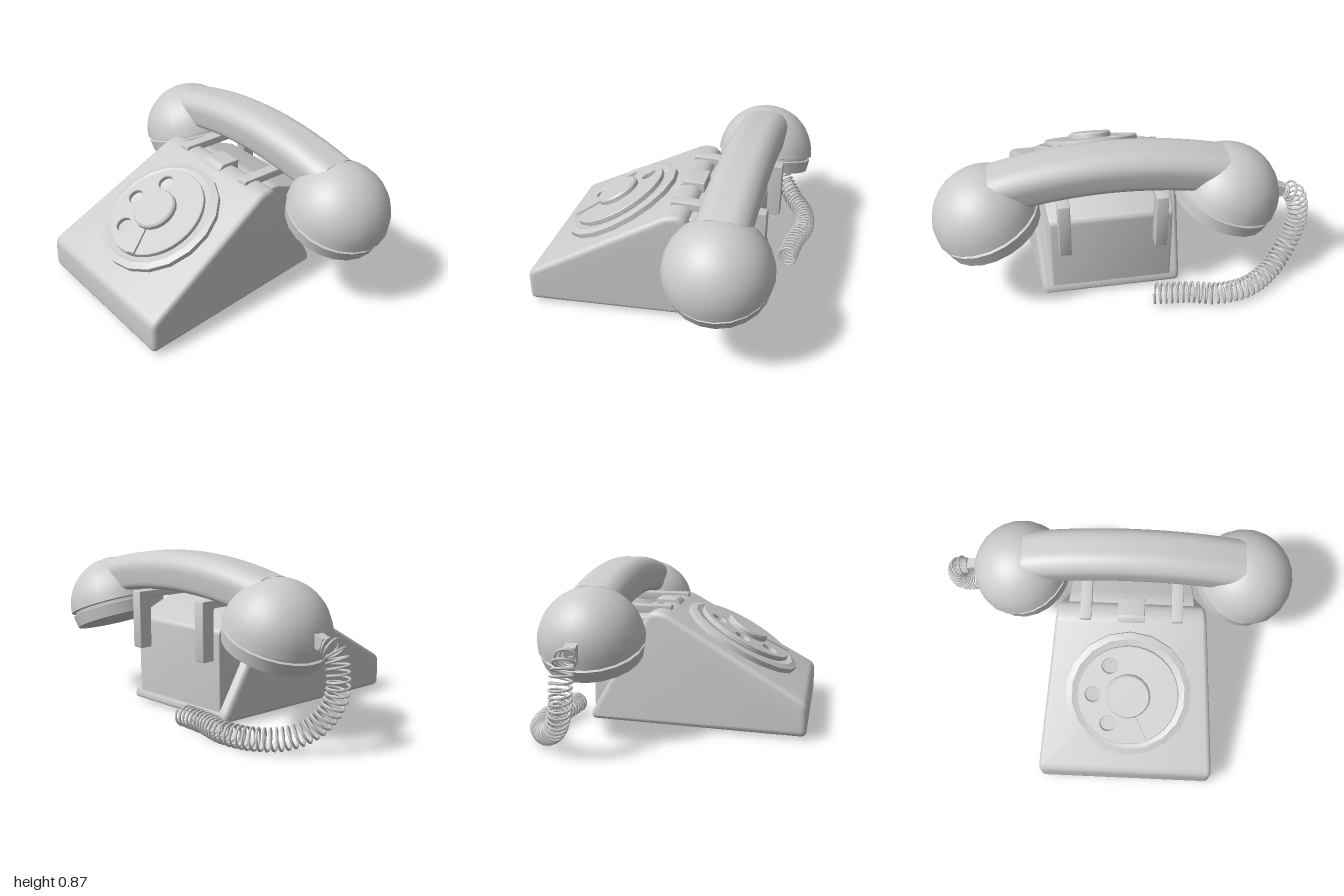
import * as THREE from 'three';
import { toCreasedNormals } from 'three/addons/utils/BufferGeometryUtils.js';

const CX = 0.09; // centre line of the phone
const CZ = -0.372; // handset axis
const material = new THREE.MeshStandardMaterial({ color: 0xcccccc });
const openMaterial = new THREE.MeshStandardMaterial({ color: 0xcccccc, side: THREE.DoubleSide });

function mesh(name, geometry, parent, mat = material) {
  const m = new THREE.Mesh(geometry, mat);
  m.name = name;
  parent.add(m);
  return m;
}

// Closed outline with every corner rounded by r
function roundedShape(points, r) {
  const v = points.map(p => new THREE.Vector2(...p));
  const shape = new THREE.Shape();
  v.forEach((b, i) => {
    const a = v[(i + v.length - 1) % v.length], c = v[(i + 1) % v.length];
    const toward = q => {
      const d = q.clone().sub(b);
      return b.clone().addScaledVector(d, Math.min(r / d.length(), 0.45));
    };
    const p = toward(a), q = toward(c);
    if (i === 0) shape.moveTo(p.x, p.y); else shape.lineTo(p.x, p.y);
    shape.quadraticCurveTo(b.x, b.y, q.x, q.y);
  });
  shape.closePath();
  return shape;
}

// Side profile of [z, y] points extruded across x, centred on x = 0
function prism(points, width, r, bevel, steps = 1) {
  const g = new THREE.ExtrudeGeometry(roundedShape(points, r), {
    depth: width - 2 * bevel, steps, curveSegments: 5,
    bevelEnabled: bevel > 0, bevelSize: bevel, bevelThickness: bevel,
    bevelOffset: -bevel, bevelSegments: 4,
  });
  g.translate(0, 0, -(width - 2 * bevel) / 2);
  return g.rotateY(-Math.PI / 2);
}

function moveVertices(g, rule) {
  const p = g.attributes.position, v = new THREE.Vector3();
  for (let i = 0; i < p.count; i++) {
    rule(v.fromBufferAttribute(p, i));
    p.setXYZ(i, v.x, v.y, v.z);
  }
  return g;
}

// Removes the flat underside, leaving a shell
function openBottom(g) {
  g.computeBoundingBox();
  const limit = g.boundingBox.min.y + 0.004, src = g.attributes.position, kept = [];
  for (let i = 0; i < src.count; i += 3) {
    if (Math.max(src.getY(i), src.getY(i + 1), src.getY(i + 2)) < limit) continue;
    for (let k = i; k < i + 3; k++) kept.push(src.getX(k), src.getY(k), src.getZ(k));
  }
  return new THREE.BufferGeometry().setAttribute('position', new THREE.Float32BufferAttribute(kept, 3));
}

// The housing narrows toward the back
const taper = v => { v.x *= 0.855 + 0.203 * v.z; };

function createBase() {
  const base = new THREE.Group();
  base.name = 'base';
  base.position.x = CX;
  const shell = (name, pts, width, r, bevel) => mesh(name,
    toCreasedNormals(openBottom(moveVertices(prism(pts, width, r, bevel), taper)), 0.5), base, openMaterial);

  shell('housing', [[0.715, 0.02], [0.715, 0.2], [-0.05, 0.637], [-0.13, 0.637], [-0.47, 0.06], [-0.47, 0.02]],
    0.98, 0.035, 0.03);
  shell('rearBox', [[-0.12, 0.6], [-0.2, 0.6], [-0.462, 0.5], [-0.462, 0.03], [-0.43, 0.03]], 0.845, 0.025, 0.01);

  // Cradle rails bend down behind the rear box
  for (const s of [-1, 1]) {
    const rail = prism([[-0.035, 0.61], [-0.035, 0.652], [-0.535, 0.652], [-0.535, 0.337],
      [-0.458, 0.337], [-0.458, 0.61]], 0.062, 0.01, 0.004);
    mesh('cradleRail', toCreasedNormals(rail, 0.5), base).position.x = s * 0.25;
  }
  const clip = prism([[-0.03, 0.6], [-0.03, 0.63], [-0.055, 0.657], [-0.165, 0.657], [-0.165, 0.6]], 0.145, 0.006, 0.004);
  mesh('cradleClip', toCreasedNormals(clip, 0.5), base);
  return base;
}

function createDial() {
  const dial = new THREE.Group();
  dial.name = 'dial';
  dial.position.set(CX, 0.43, 0.315);
  dial.rotation.x = Math.atan(0.571);
  const lathe = (pts, n) => toCreasedNormals(
    new THREE.LatheGeometry(pts.map(p => new THREE.Vector2(...p)), n), 0.45);

  mesh('dialPlate', lathe([[0.347, -0.12], [0.347, 0.025], [0.312, 0.035], [0.3, 0.03], [0, 0.03]], 18), dial, openMaterial);

  // Finger wheel with three holes
  const wheel = new THREE.Shape().absarc(0, 0, 0.272, 0, Math.PI * 2);
  for (const a of [-57, 0, 57]) {
    const t = Math.PI + THREE.MathUtils.degToRad(a);
    wheel.holes.push(new THREE.Path().absarc(0.193 * Math.cos(t), 0.193 * Math.sin(t), 0.046, 0, Math.PI * 2, true));
  }
  const wheelGeometry = new THREE.ExtrudeGeometry(wheel, {
    depth: 0.02, curveSegments: 18, bevelSize: 0.004, bevelThickness: 0.004, bevelSegments: 1,
  }).rotateX(-Math.PI / 2);
  mesh('fingerWheel', toCreasedNormals(wheelGeometry, 0.45), dial).position.y = 0.034;

  mesh('dialHub', lathe([[0.122, 0.03], [0.122, 0.08], [0.113, 0.09], [0, 0.09]], 20), dial);

  const stop = new THREE.Shape([[-0.01, -0.125], [0.01, -0.125], [0.024, -0.275], [-0.024, -0.275]]
    .map(p => new THREE.Vector2(...p)));
  const stopMesh = mesh('fingerStop', new THREE.ExtrudeGeometry(stop, { depth: 0.04, bevelEnabled: false })
    .rotateX(-Math.PI / 2), dial);
  stopMesh.position.y = 0.03;
  stopMesh.rotation.y = 0.33;
  return dial;
}

function createHandset() {
  const handset = new THREE.Group();
  handset.name = 'handset';
  handset.position.set(CX, 0, CZ);

  // Arched handle
  const handle = prism([[-0.125, 0.67], [-0.14, 0.815], [-0.08, 0.875], [0.08, 0.875], [0.14, 0.815], [0.125, 0.67]],
    1.22, 0.04, 0, 20);
  moveVertices(handle, v => { v.y -= 0.215 * v.x * v.x; });
  mesh('handle', toCreasedNormals(handle, 0.6), handset);

  // Domed cups with a grooved collar
  const profile = [[0, -0.088], [0.258, -0.088], [0.27, -0.022], [0.256, -0.018], [0.256, -0.004]];
  for (let i = 0; i <= 10; i++) {
    const a = i / 10 * Math.PI / 2;
    profile.push([0.277 * Math.cos(a), 0.277 * Math.sin(a)]);
  }
  const cup = toCreasedNormals(new THREE.LatheGeometry(profile.map(p => new THREE.Vector2(...p)), 22), 0.5);
  for (const s of [-1, 1]) {
    const m = mesh(s < 0 ? 'mouthpiece' : 'earpiece', cup, handset);
    m.position.set(s * 0.63, 0.52, 0);
    m.rotation.z = -s * THREE.MathUtils.degToRad(20);
  }
  return handset;
}

function createCord() {
  const cord = new THREE.Group();
  cord.name = 'cord';
  const plug = mesh('cordSocket', new THREE.BoxGeometry(0.06, 0.06, 0.06), cord);
  plug.position.set(-0.82, 0.525, -0.385);
  plug.rotation.z = 0.35;

  // Helix wound around a guide curve
  const guide = new THREE.CatmullRomCurve3([
    [-0.84, 0.52, -0.385], [-0.91, 0.49, -0.39], [-0.943, 0.39, -0.4], [-0.935, 0.27, -0.41],
    [-0.87, 0.15, -0.46], [-0.77, 0.085, -0.54], [-0.62, 0.068, -0.63], [-0.45, 0.068, -0.655],
    [-0.3, 0.068, -0.62], [-0.11, 0.066, -0.6]].map(p => new THREE.Vector3(...p)));
  const turns = 42, n = turns * 10;
  const frames = guide.computeFrenetFrames(n, false);
  const coil = [];
  for (let i = 0; i <= n; i++) {
    const a = i / 10 * Math.PI * 2, r = 0.053 * Math.min(1, 0.3 + i / 20);
    coil.push(guide.getPointAt(i / n)
      .addScaledVector(frames.normals[i], r * Math.cos(a))
      .addScaledVector(frames.binormals[i], r * Math.sin(a)));
  }
  mesh('coiledCord', new THREE.TubeGeometry(new THREE.CatmullRomCurve3(coil), turns * 14, 0.0065, 6), cord);
  return cord;
}

export function createModel() {
  const phone = new THREE.Group();
  phone.name = 'rotaryTelephone';
  phone.add(createBase(), createDial(), createHandset(), createCord());
  return phone;
}
